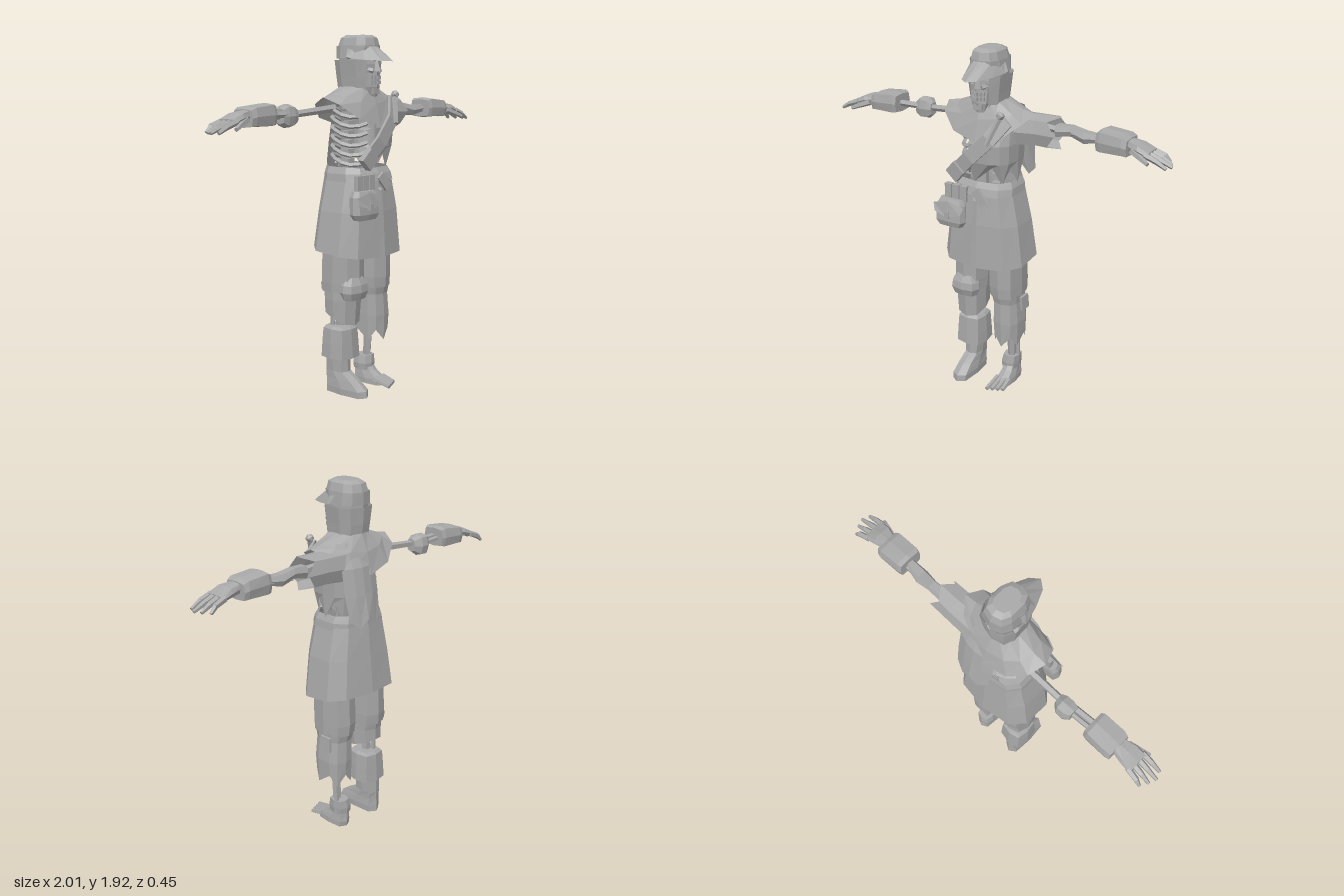
import * as THREE from 'three';

const TAU = Math.PI * 2;

export function createModel() {
  const model = new THREE.Group();
  const grey = new THREE.MeshStandardMaterial({ color: 0xa8a8a8, flatShading: true, side: THREE.DoubleSide });
  grey.name = 'plain grey';

  function add(name, geometry, parent = model) {
    const mesh = new THREE.Mesh(geometry, grey);
    mesh.name = name;
    parent.add(mesh);
    return mesh;
  }

  // Skin over rows of points, optionally closed at both ends
  function skin(rows, cap) {
    const n = rows[0].length, pos = rows.flat(2), idx = [];
    for (let j = 0; j < rows.length - 1; j++)
      for (let i = 0; i < n - 1; i++) {
        const a = j * n + i, b = a + n;
        idx.push(a, a + 1, b + 1, a, b + 1, b);
      }
    if (cap) [0, rows.length - 1].forEach((j) => {
      const c = pos.length / 3, row = rows[j].slice(0, n - 1);
      for (let k = 0; k < 3; k++) pos.push(row.reduce((s, p) => s + p[k], 0) / row.length);
      for (let i = 0; i < n - 1; i++) {
        const a = j * n + i;
        idx.push(c, j ? a : a + 1, j ? a + 1 : a);
      }
    });
    const g = new THREE.BufferGeometry();
    g.setAttribute('position', new THREE.Float32BufferAttribute(pos, 3));
    g.setIndex(idx);
    g.computeVertexNormals();
    return g;
  }

  // Rings [position, centre1, centre2, radius1, radius2, tilt, drape] along y (x, z) or x (y, z)
  function loft(rings, { n = 8, from = 0, to = TAU, p = 0.7, cap = true, jag = 0, jagEnd = 0, axis = 'y' } = {}) {
    const round = (v) => Math.sign(v) * Math.abs(v) ** p;
    const rows = rings.map(([h, c1, c2, r1, r2, tilt = 0, drape = 0], j) => {
      const row = [];
      for (let i = 0; i <= n; i++) {
        const t = from + (to - from) * i / n, s = Math.sin(t), c = Math.cos(t);
        const tooth = i % 2 ? (j === jagEnd ? jag : 0) : 0;
        const along = h + tilt * c - drape * c * c + tooth;
        const a = c1 + r1 * round(s), b = c2 + r2 * round(c);
        row.push(axis === 'y' ? [a, along, b] : [along, a, b]);
      }
      return row;
    });
    return skin(rows, cap);
  }

  // Tapered rod between two points
  function rod(a, b, r1, r2 = r1, sides = 5) {
    const A = new THREE.Vector3(...a), d = new THREE.Vector3(...b).sub(A);
    const g = new THREE.CylinderGeometry(r2, r1, d.length(), sides);
    g.translate(0, d.length() / 2, 0);
    g.applyQuaternion(new THREE.Quaternion().setFromUnitVectors(new THREE.Vector3(0, 1, 0), d.normalize()));
    return g.translate(...a);
  }

  // Flat band along points with half width w and half depth d
  function plank(points, w, d) {
    const corners = [[-1, 1], [-1, -1], [1, -1], [1, 1], [-1, 1]];
    return skin(points.map((q) => corners.map(([u, v]) => q.map((k, i) => k + u * w[i] + v * d[i]))), true);
  }

  const box = (w, h, d, x, y, z) => new THREE.BoxGeometry(w, h, d).translate(x, y, z);

  // Skull with cheeks, nose and teeth
  add('skull', loft([[1.6, 0, 0.075, 0.035, 0.045], [1.65, 0, 0.05, 0.055, 0.085], [1.72, 0, 0.02, 0.062, 0.115],
    [1.77, 0, 0.015, 0.078, 0.12], [1.84, 0, 0.01, 0.078, 0.115]]));
  add('nose', rod([0, 1.73, 0.135], [0, 1.79, 0.13], 0.022, 0.008, 4));
  for (const s of [-1, 1]) {
    add('cheekbone', rod([s * 0.025, 1.735, 0.13], [s * 0.075, 1.755, 0.05], 0.014, 0.014));
    add('brow', rod([s * 0.01, 1.795, 0.135], [s * 0.07, 1.805, 0.08], 0.012, 0.012));
  }
  for (const y of [1.675, 1.7])
    for (let i = -2; i <= 2; i++) add('tooth', box(0.013, 0.02, 0.02, i * 0.016, y, 0.135 - Math.abs(i) * 0.008));
  add('chin', box(0.05, 0.03, 0.03, 0, 1.63, 0.115));

  // Hat with pointed bill
  add('hatCrown', loft([[1.8, 0, 0.005, 0.083, 0.11], [1.86, 0, 0.008, 0.082, 0.112], [1.905, 0, 0.01, 0.07, 0.1], [1.92, 0, 0.01, 0.05, 0.07]], { n: 10 }));
  add('hatBand', loft([[1.8, 0, 0, 0.092, 0.108], [1.865, 0, 0.005, 0.088, 0.115]], { n: 10, cap: false }));
  const billInner = [], billOuter = [], billUnder = [];
  for (let i = 0; i <= 8; i++) {
    const a = (i / 8 - 0.5) * 3.3, s = Math.sin(a), c = Math.cos(a);
    billInner.push([0.08 * s, 1.86, 0.01 + 0.11 * c]);
    billOuter.push([0.112 * s, 1.805 - 0.022 * c, 0.015 + 0.225 * c * c]);
    billUnder.push([0.08 * s, 1.795 + 0.015 * c, 0.01 + 0.11 * c]);
  }
  add('hatBill', skin([billUnder, billOuter, billInner]));

  // Tall open collar
  add('collar', loft([[1.61, 0, 0.005, 0.085, 0.1], [1.7, 0, 0.005, 0.095, 0.112], [1.79, 0, 0.005, 0.108, 0.118]],
    { from: 0.45, to: TAU - 0.45, cap: false }));
  add('neck', rod([0, 1.5, -0.03], [0, 1.65, 0], 0.035));

  // Shoulder mantle and hanging back cape
  add('mantle', loft([[1.6, 0, -0.005, 0.265, 0.165, 0, 0.15], [1.615, 0, -0.005, 0.19, 0.135, 0, 0.05], [1.655, 0, 0, 0.085, 0.1]],
    { n: 12, p: 0.9, cap: false }));
  const cape = [[1.62, -0.1, 0.1], [1.5, -0.165, 0.115], [1.36, -0.19, 0.115], [1.24, -0.215, 0.105]];
  add('backCape', skin(cape.map(([y, z, w], j) => [-1, -0.5, 0, 0.5, 1].map((u, i) =>
    [0.06 + u * w, y - (j === 3 && i % 2 ? 0.05 : 0), z + 0.03 * u * u]))));

  // Torn shirt over the left half of the chest
  add('shirt', loft([[1.22, 0, 0, 0.165, 0.11], [1.34, 0, 0.01, 0.172, 0.145], [1.44, 0, 0.012, 0.178, 0.15],
    [1.55, 0, 0, 0.17, 0.125], [1.63, 0, 0, 0.09, 0.09]], { n: 8, from: -0.1, to: Math.PI + 0.1, cap: false, jag: 0.09 }));
  add('shirtSleeve', loft([[0.1, 1.5, -0.04, 0.09, 0.1], [0.27, 1.51, -0.05, 0.082, 0.088], [0.39, 1.51, -0.05, 0.085, 0.085]],
    { axis: 'x', cap: false, jag: -0.05, jagEnd: 2 }));

  // Ribs and spine
  for (let k = 0; k < 6; k++) {
    const pts = [], y = 1.27 + k * 0.05;
    for (let i = 0; i <= 6; i++) {
      const t = Math.PI + 0.05 + i * 0.45;
      pts.push(new THREE.Vector3(0.15 * Math.sin(t), y + 0.025 * Math.sin(i), 0.125 * Math.cos(t)));
    }
    add('rib', new THREE.TubeGeometry(new THREE.CatmullRomCurve3(pts), 8, 0.012, 4));
  }
  for (let y = 1.1; y < 1.6; y += 0.05) add('vertebra', box(0.05, 0.035, 0.05, 0, y, -0.07));
  add('breastbone', box(0.04, 0.2, 0.02, 0, 1.4, 0.125));
  add('bellyBuckle', box(0.06, 0.09, 0.03, 0, 1.25, 0.08));

  // Chest strap with sheath and small dagger
  add('chestStrap', plank([[0.16, 1.58, 0.11], [0.09, 1.48, 0.165], [-0.02, 1.37, 0.18], [-0.13, 1.26, 0.16]],
    [0.028, -0.026, 0], [0, 0, 0.008]));
  add('strapSheath', plank([[-0.08, 1.31, 0.175], [-0.135, 1.25, 0.165]], [0.03, -0.028, 0], [0, 0, 0.018]));
  add('dagger', rod([0.14, 1.6, 0.14], [0.09, 1.46, 0.19], 0.016, 0.012));
  add('daggerKnob', new THREE.IcosahedronGeometry(0.024, 0).translate(0.142, 1.61, 0.14));

  // Belt, skirt and pouch
  add('belt', loft([[1.16, 0, 0.005, 0.182, 0.155], [1.2, 0, 0, 0.178, 0.148], [1.235, 0, -0.005, 0.162, 0.135, -0.005]], { n: 10, cap: false }));
  add('skirt', loft([[0.78, 0, -0.005, 0.248, 0.185, -0.025], [1, 0, 0, 0.218, 0.17], [1.18, 0, 0, 0.176, 0.152]],
    { n: 10, from: 0.02, to: TAU - 0.02, cap: false }));
  add('pouch', loft([[0.97, -0.14, 0.17, 0.07, 0.03], [1, -0.14, 0.17, 0.09, 0.04], [1.09, -0.14, 0.165, 0.085, 0.04], [1.12, -0.14, 0.16, 0.07, 0.03]], { p: 0.45 }));
  add('pouchFlap', skin([[[-0.235, 1.09, 0.2], [-0.14, 1.115, 0.207], [-0.045, 1.09, 0.2]],
    [[-0.22, 1.05, 0.214], [-0.14, 1.025, 0.22], [-0.06, 1.05, 0.214]]]));
  add('pouchButton', box(0.025, 0.035, 0.015, -0.14, 1.04, 0.215));
  for (let i = 0; i < 3; i++) add('beltLoop', box(0.04, 0.085, 0.03, -0.165 + i * 0.047, 1.155, 0.15));
  add('beltTail', plank([[0, 1.19, 0.155], [0.06, 1.12, 0.162]], [0.02, 0.015, 0], [0, 0, 0.008]));

  // Arm bones, cuffs and hands, mirrored
  for (const s of [1, -1]) {
    const arm = new THREE.Group();
    arm.name = s > 0 ? 'leftArm' : 'rightArm';
    arm.scale.x = s;
    model.add(arm);
    add('upperArmBone', rod([0.12, 1.54, -0.06], [0.46, 1.515, -0.06], 0.022, 0.018), arm);
    add('forearmBone', rod([0.45, 1.52, -0.05], [0.64, 1.52, -0.04], 0.018), arm);
    add('thinForearmBone', rod([0.45, 1.505, -0.075], [0.64, 1.515, -0.07], 0.014), arm);
    add('cuff', loft([[0.61, 1.52, -0.05, 0.05, 0.068], [0.63, 1.523, -0.05, 0.058, 0.075], [0.75, 1.518, -0.05, 0.05, 0.078], [0.775, 1.51, -0.05, 0.045, 0.07]],
      { axis: 'x', p: 0.4 }), arm);
    add('palm', loft([[0.76, 1.525, -0.045, 0.028, 0.04], [0.83, 1.515, -0.04, 0.026, 0.06], [0.89, 1.495, -0.04, 0.018, 0.062]], { axis: 'x', p: 0.6 }), arm);
    for (let i = 0; i < 4; i++) {
      const z = -0.09 + i * 0.034, tip = [0.96, 0.985, 1, 0.985][i];
      add('finger', rod([0.87, 1.5, z], [0.935, 1.478, z * 1.1], 0.017, 0.015), arm);
      add('fingertip', rod([0.93, 1.48, z * 1.1], [tip, 1.45, z * 1.15], 0.015, 0.009), arm);
    }
    add('thumb', rod([0.8, 1.505, 0], [0.9, 1.465, 0.04], 0.02, 0.011), arm);
  }
  add('elbowWrap', loft([[-0.51, 1.51, -0.07, 0.04, 0.035], [-0.48, 1.51, -0.075, 0.06, 0.05], [-0.44, 1.51, -0.075, 0.058, 0.05], [-0.41, 1.51, -0.065, 0.035, 0.03]], { axis: 'x' }));
  add('tornArmCloth', loft([[0.36, 1.52, -0.06, 0.035, 0.035], [0.44, 1.53, -0.065, 0.028, 0.03], [0.52, 1.51, -0.06, 0.032, 0.04], [0.62, 1.52, -0.05, 0.02, 0.025]], { axis: 'x', n: 6 }));

  // Trousers and leg bones
  for (const s of [1, -1]) {
    const x = 0.11 * s, side = s > 0 ? 'left' : 'right';
    add(side + 'Thigh', loft([[0.56, x * 1.02, -0.01, 0.082, 0.112], [0.62, x, -0.01, 0.085, 0.118], [0.85, x, -0.005, 0.085, 0.115], [1.1, x * 0.8, 0, 0.08, 0.11]]));
    add(side + 'ShinBone', rod([s * 0.12, 0.08, -0.04], [s * 0.12, 0.56, -0.01], 0.022, 0.028));
    add(side + 'ThinShinBone', rod([s * 0.145, 0.08, -0.06], [s * 0.145, 0.5, -0.05], 0.014));
  }
  add('leftTrouserCuff', loft([[0.26, 0.12, -0.01, 0.074, 0.095], [0.4, 0.12, -0.01, 0.078, 0.1], [0.52, 0.115, -0.01, 0.073, 0.095], [0.57, 0.112, -0.01, 0.08, 0.108]], { cap: false, jag: 0.06, n: 10 }));
  add('leftKneeTear', plank([[0.195, 0.55, -0.03], [0.2, 0.47, -0.035]], [0, 0, 0.035], [0.007, 0, 0]));
  add('rightTrouserCuff', loft([[0.42, -0.115, -0.01, 0.075, 0.09, -0.035], [0.52, -0.115, -0.005, 0.08, 0.095], [0.58, -0.113, -0.005, 0.08, 0.105]], { cap: false }));
  add('kneePad', loft([[0.53, -0.115, 0.07, 0.07, 0.045], [0.57, -0.115, 0.07, 0.085, 0.06], [0.61, -0.115, 0.07, 0.08, 0.055], [0.65, -0.115, 0.07, 0.055, 0.035]]));
  add('kneeStrap', loft([[0.57, -0.115, -0.005, 0.09, 0.115], [0.61, -0.115, -0.005, 0.092, 0.12]], { cap: false }));

  // Right boot
  add('bootCuff', loft([[0.2, -0.12, -0.02, 0.083, 0.09], [0.28, -0.12, -0.02, 0.08, 0.085], [0.36, -0.12, -0.02, 0.074, 0.08], [0.375, -0.12, -0.02, 0.06, 0.065]], { p: 0.5 }));
  add('boot', loft([[0, -0.122, 0.032, 0.05, 0.14], [0.035, -0.122, 0.03, 0.052, 0.138], [0.08, -0.122, 0, 0.047, 0.105], [0.12, -0.12, -0.035, 0.045, 0.07], [0.22, -0.12, -0.035, 0.048, 0.065]], { p: 0.6 }));

  // Bare left foot with wrapped ankle
  add('ankleWrap', loft([[0.075, 0.11, -0.05, 0.046, 0.055], [0.11, 0.11, -0.05, 0.05, 0.058], [0.155, 0.115, -0.05, 0.045, 0.05]]));
  add('leftFoot', loft([[0, 0.115, -0.005, 0.045, 0.1], [0.03, 0.115, -0.01, 0.045, 0.1], [0.07, 0.115, -0.04, 0.038, 0.065], [0.1, 0.115, -0.05, 0.035, 0.05]], { p: 0.6 }));
  for (let i = 0; i < 4; i++) {
    const x = 0.08 + i * 0.024;
    add('toe', rod([x, 0.035, 0.05], [x + (i - 1.5) * 0.003, 0.014, 0.165 - i * 0.012], 0.016, 0.012));
  }
  return model;
}
